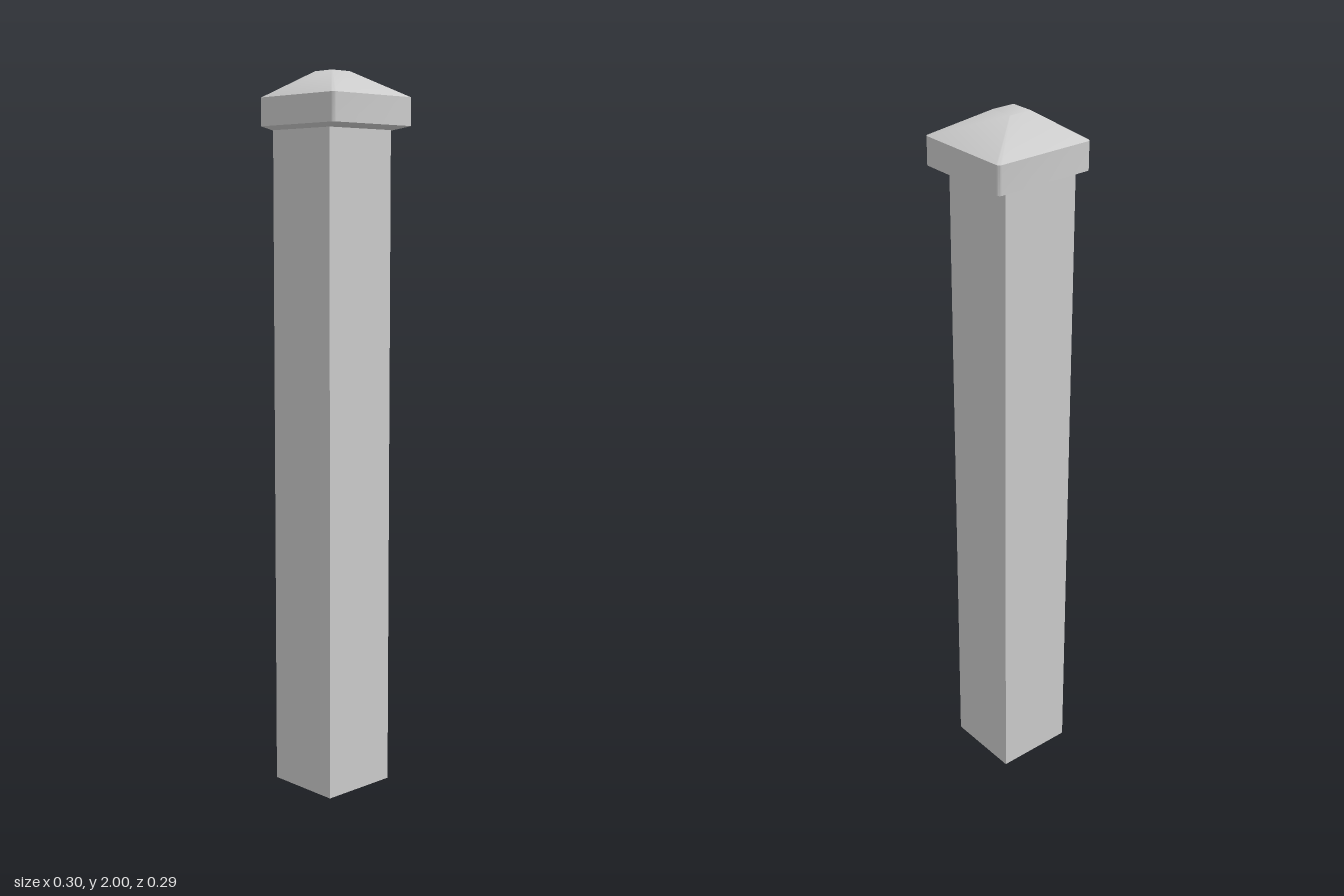
import * as THREE from 'three';
import { toCreasedNormals } from 'three/addons/utils/BufferGeometryUtils.js';

const material = new THREE.MeshStandardMaterial({ color: 0xcccccc });

// Rounded rectangle at height y, counter-clockwise seen from above
function ring({ y, cx = 0, hx, hz, r }) {
  const points = [];
  const signs = [[1, 1], [-1, 1], [-1, -1], [1, -1]];
  signs.forEach(([sx, sz], corner) => {
    for (let i = 0; i <= 3; i++) {
      const a = (corner + i / 3) * Math.PI / 2;
      points.push([cx + sx * (hx - r) + r * Math.cos(a), y, -sz * (hz - r) - r * Math.sin(a)]);
    }
  });
  return points;
}

// Closed solid through a stack of rings, listed bottom to top
function loft(sections) {
  const rings = sections.map(ring);
  const n = rings[0].length;
  const index = [];
  for (let k = 0; k < rings.length - 1; k++) {
    for (let i = 0; i < n; i++) {
      const a = k * n + i, b = k * n + (i + 1) % n;
      index.push(a, b, b + n, a, b + n, a + n);
    }
  }
  const top = (rings.length - 1) * n;
  for (let i = 1; i < n - 1; i++) {
    index.push(0, i + 1, i, top, top + i, top + i + 1);
  }
  const geometry = new THREE.BufferGeometry();
  geometry.setAttribute('position', new THREE.Float32BufferAttribute(rings.flat(2), 3));
  geometry.setIndex(index);
  return toCreasedNormals(geometry, 0.6);
}

export function createModel() {
  const group = new THREE.Group();
  group.name = 'fencePost';

  // Square shaft, set slightly off centre under the cap
  const shaft = new THREE.Mesh(new THREE.BoxGeometry(0.229, 1.85, 0.225), material);
  shaft.name = 'shaft';
  shaft.position.set(-0.015, 0.925, 0);
  group.add(shaft);

  // Cap: shallow sloped underside, upright band, hipped roof with a small flat top
  const cap = new THREE.Mesh(loft([
    { y: 1.843, cx: -0.012, hx: 0.12, hz: 0.118, r: 0.008 },
    { y: 1.854, hx: 0.148, hz: 0.147, r: 0.01 },
    { y: 1.931, hx: 0.148, hz: 0.147, r: 0.01 },
    { y: 2, cx: -0.013, hx: 0.034, hz: 0.034, r: 0.002 },
  ]), material);
  cap.name = 'cap';
  group.add(cap);

  return group;
}
